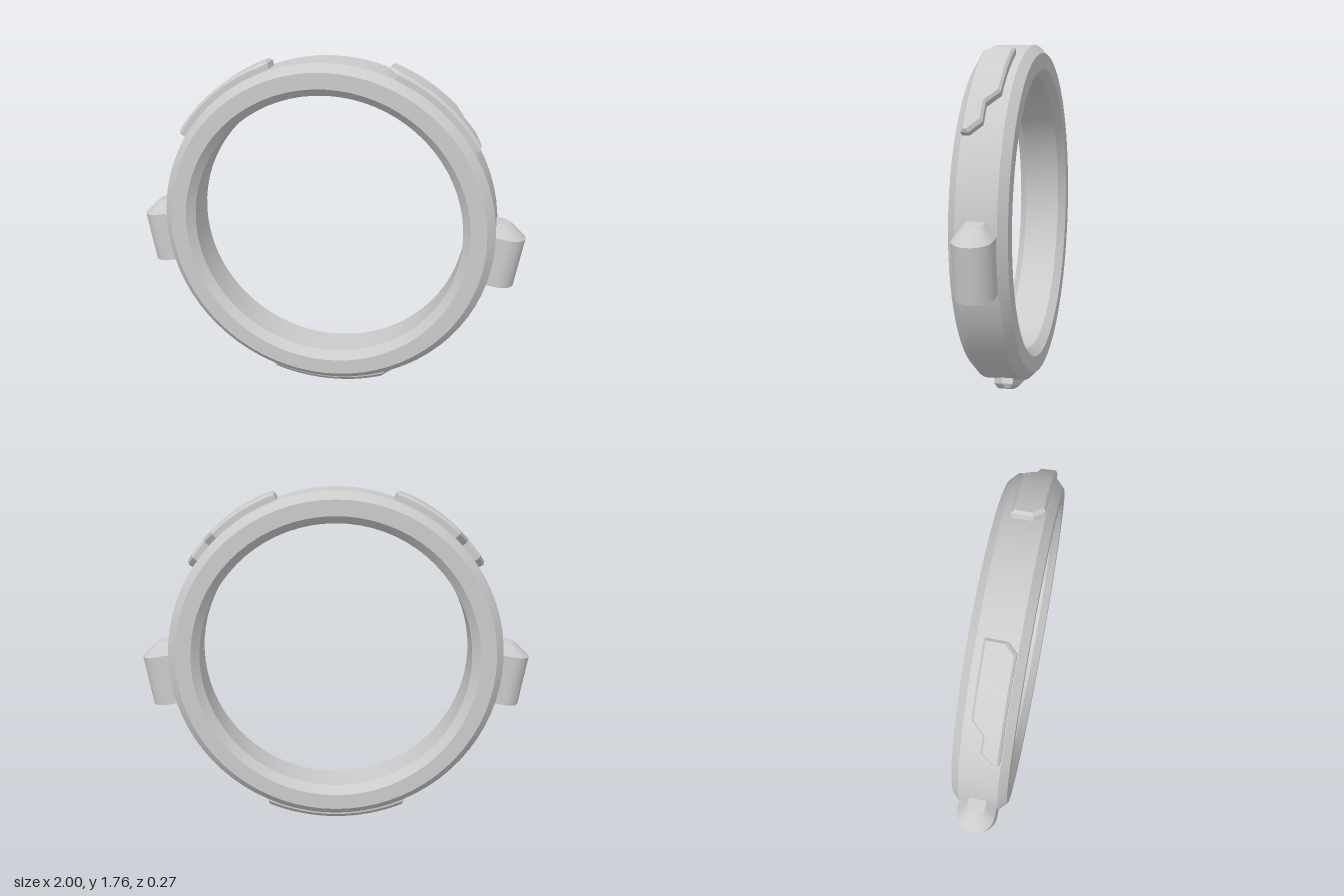
import * as THREE from 'three';
import { toCreasedNormals } from 'three/addons/utils/BufferGeometryUtils.js';

const CY = 0.905; // height of the ring's centre
const RAD = Math.PI / 180;
const material = new THREE.MeshStandardMaterial({ color: 0xcccccc });

// Skin closed cross-sections (equal point counts, mirrored point order) with capped ends
function loft(sections) {
  const n = sections[0].length, m = sections.length;
  const pts = sections.flat();
  const index = [];
  const quad = (a, b, c, d) => index.push(a, b, c, a, c, d);
  for (let s = 0; s < m - 1; s++) {
    for (let i = 0; i < n; i++) {
      const j = (i + 1) % n;
      quad(s * n + i, s * n + j, (s + 1) * n + j, (s + 1) * n + i);
    }
  }
  const last = (m - 1) * n;
  for (let i = 0; i < n / 2 - 1; i++) {
    const k = n - 1 - i;
    quad(i, k, k - 1, i + 1);
    quad(last + i, last + i + 1, last + k - 1, last + k);
  }
  // Turn the faces outwards if the enclosed volume is negative
  let volume = 0;
  const cross = new THREE.Vector3();
  for (let i = 0; i < index.length; i += 3) {
    volume += pts[index[i]].dot(cross.crossVectors(pts[index[i + 1]], pts[index[i + 2]]));
  }
  if (volume < 0) index.reverse();
  const geometry = new THREE.BufferGeometry().setFromPoints(pts);
  geometry.setIndex(index);
  return toCreasedNormals(geometry, 0.5);
}

// Piecewise-linear lookup in a list of [angle, z]
function sample(line, t) {
  for (let i = 1; i < line.length; i++) {
    const [t0, z0] = line[i - 1], [t1, z1] = line[i];
    if (t <= t1) return z0 + (z1 - z0) * (t - t0) / (t1 - t0);
  }
  return line[line.length - 1][1];
}

// Bevelled plate wrapped on the ring, between edge lines lo and hi
function curvedPlate({ lo, hi, mid, top, inset, side = 1 }) {
  const start = lo[0][0], end = lo[lo.length - 1][0], centre = (start + end) / 2;
  const shrink = 1 - (inset / top / RAD) / ((end - start) / 2);
  const angles = [...lo, ...hi].map((p) => p[0]);
  for (let i = 1; i < 16; i++) angles.push(start + (end - start) * i / 16);
  const steps = [...new Set(angles)].sort((a, b) => a - b);
  const at = (r, deg, z) => new THREE.Vector3(
    side * r * Math.cos(deg * RAD), CY + r * Math.sin(deg * RAD), z);
  return loft(steps.map((t) => {
    const z0 = sample(lo, t), z1 = sample(hi, t);
    const tTop = centre + (t - centre) * shrink;
    return [
      at(0.835, t, z1), at(mid, t, z1), at(top, tTop, z1 - inset),
      at(top, tTop, z0 + inset), at(mid, t, z0), at(0.835, t, z0),
    ];
  }));
}

// Tilted round-nosed lug with a sloping cap
function lug(side) {
  const tilt = 10 * RAD, c = Math.cos(tilt), s = Math.sin(tilt);
  const section = (height, nose, r) => {
    const place = (u, z) => new THREE.Vector3(
      side * (1 + u * c + height * s), 0.9 - u * s + height * c, z);
    const out = [place(-0.2, r)];
    const segments = 15;
    for (let i = 0; i <= segments; i++) {
      const a = Math.PI * (0.5 - i / segments);
      out.push(place(nose - r + r * Math.cos(a), r * Math.sin(a)));
    }
    out.push(place(-0.2, -r));
    return out;
  };
  return loft([section(-0.26, 0, 0.093), section(0, 0, 0.093), section(0.061, -0.087, 0.043)]);
}

export function createModel() {
  const group = new THREE.Group();
  const add = (name, geometry) => {
    const mesh = new THREE.Mesh(geometry, material);
    mesh.name = name;
    group.add(mesh);
    return mesh;
  };

  // Ring with all four edges chamfered
  const profile = [
    [0.695, -0.095], [0.735, -0.135], [0.815, -0.135], [0.855, -0.095],
    [0.855, 0.095], [0.815, 0.135], [0.735, 0.135], [0.695, 0.095], [0.695, -0.095],
  ].map(([r, z]) => new THREE.Vector2(r, z));
  const ring = new THREE.LatheGeometry(profile, 72);
  ring.rotateX(Math.PI / 2);
  ring.translate(0, CY, 0);
  add('ring', toCreasedNormals(ring, 0.5));

  // Mirrored side lugs and stepped upper plates
  for (const [label, side] of [['left', 1], ['right', -1]]) {
    add(`${label}Lug`, lug(side));
    add(`${label}UpperPlate`, curvedPlate({
      lo: [[31.5, 0.055], [35, 0], [41.7, 0], [46, -0.058], [70, -0.058]],
      hi: [[31.5, 0.092], [67, 0.092], [70, 0.045]],
      mid: 0.883, top: 0.896, inset: 0.011, side,
    }));
  }

  // Bottom plate with its front corners cut off
  add('bottomPlate', curvedPlate({
    lo: [[-114.3, -0.055], [-65.7, -0.055]],
    hi: [[-114.3, 0], [-109.7, 0.055], [-70.3, 0.055], [-65.7, 0]],
    mid: 0.883, top: 0.905, inset: 0.02,
  }));

  return group;
}
